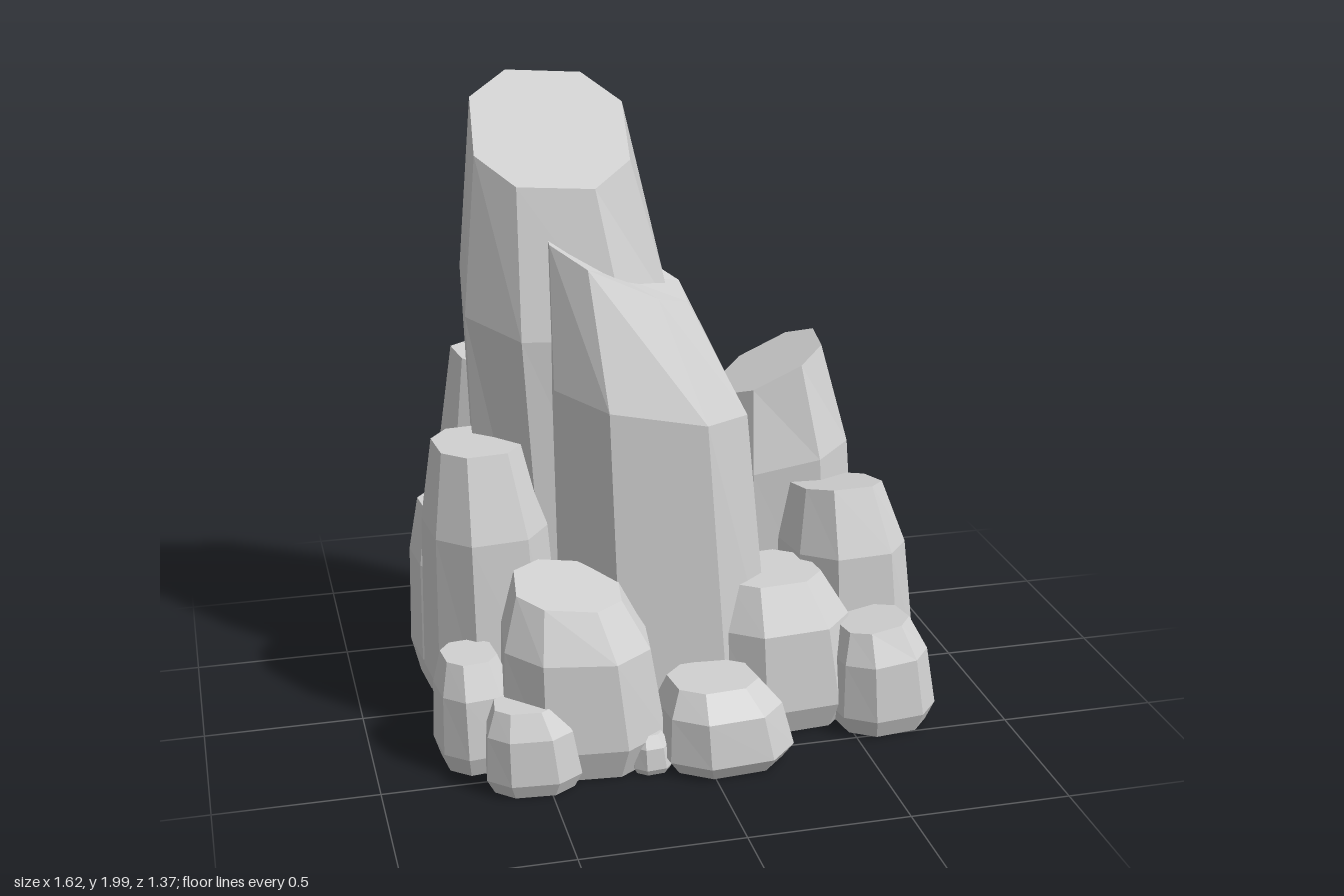
import * as THREE from 'three';

const stone = new THREE.MeshStandardMaterial({ color: 0xd0d0d0 });
stone.name = 'grey stone';

// Unit octagon: a square with cut corners, in order seen from above
const CUT = 0.5;
const OCTAGON = [];
for (const [x, z] of [[1, 1], [-1, 1], [-1, -1], [1, -1]]) {
  const pair = [[x, z * CUT], [x * CUT, z]];
  OCTAGON.push(...(x * z > 0 ? pair : pair.reverse()));
}

// One ring fitted to a box [x0, x1, z0, z1], skewed and tilted by slopes along x and z
function ring([x0, x1, z0, z1], y, skew, slopeX = 0, slopeZ = 0, scale = 1) {
  const fit = scale / (1 + Math.abs(skew) * CUT) / 2;
  return OCTAGON.map(([u, v]) => {
    const dx = (x1 - x0) * (u + skew * v) * fit;
    const dz = (z1 - z0) * (v - skew * u) * fit;
    return new THREE.Vector3((x0 + x1) / 2 + dx, y + slopeX * dx + slopeZ * dz, (z0 + z1) / 2 + dz);
  });
}

const centre = (points) =>
  points.reduce((sum, p) => sum.add(p), new THREE.Vector3()).divideScalar(points.length);

// Faceted rock: narrowed foot, low ring, shoulder ring and tilted top
function rock(name, { low, mid, midY, top, topY, skew, slopeX = 0, slopeZ = 0, sag = 0 }) {
  const rings = [
    ring(low, 0.005 + topY * 0.01, skew, 0, 0, 0.84),
    ring(low, Math.min(0.16, topY * 0.2), skew),
    ring(mid, midY, skew, slopeX * 0.4, slopeZ * 0.4),
    ring(top, topY, skew, slopeX, slopeZ),
  ];
  const bottom = centre(rings[0]);
  const cap = centre(rings[3]);
  cap.y -= sag;

  const corners = [];
  for (let i = 0; i < 8; i++) {
    const j = (i + 1) % 8;
    corners.push(bottom, rings[0][i], rings[0][j], cap, rings[3][j], rings[3][i]);
    for (let r = 0; r < 3; r++) {
      const a = rings[r], b = rings[r + 1];
      corners.push(a[i], b[i], b[j], a[i], b[j], a[j]);
    }
  }
  // Unshared corners give flat facets
  const geometry = new THREE.BufferGeometry().setFromPoints(corners);
  geometry.computeVertexNormals();
  const mesh = new THREE.Mesh(geometry, stone);
  mesh.name = name;
  return mesh;
}

// Upright boulder: shoulder and top are the foot box drawn in, more on the left and front
function boulder(name, low, topY, skew, slopeX, slopeZ) {
  const [x0, x1, z0, z1] = low;
  const w = x1 - x0, d = z1 - z0;
  const mid = [x0 + w * 0.02, x1 - w * 0.09, z0 + d * 0.03, z1 - d * 0.05];
  const top = [x0 + w * 0.11, x1 - w * 0.25, z0 + d * 0.12, z1 - d * 0.23];
  return rock(name, { low, mid, midY: topY * 0.72, top, topY, skew, slopeX, slopeZ });
}

export function createModel() {
  const group = new THREE.Group();
  group.name = 'rockFormation';

  group.add(
    // Two main spires
    rock('tallSpire', {
      low: [-0.59, 0.25, -0.45, 0.15],
      mid: [-0.62, 0.06, -0.51, 0.14], midY: 1.34,
      top: [-0.57, -0.07, -0.43, 0.03], topY: 1.855,
      skew: -0.1, slopeZ: -0.63,
    }),
    rock('frontSpire', {
      low: [-0.38, 0.31, -0.22, 0.39],
      mid: [-0.39, 0.23, -0.25, 0.36], midY: 1.08,
      top: [-0.38, 0.06, -0.18, 0.2], topY: 1.47,
      skew: -0.08, slopeX: -0.46, slopeZ: -0.14, sag: 0.04,
    }),
    // Medium columns
    boulder('rightSideColumn', [-0.79, -0.37, -0.18, 0.27], 0.93, 0.1),
    boulder('backRightColumn', [-0.66, -0.17, -0.66, -0.22], 1.05, 0.12, -0.15),
    boulder('backColumn', [-0.11, 0.41, -0.67, -0.25], 0.92, 0.06, 0, 0.2),
    boulder('leftColumn', [0.2, 0.72, -0.49, 0.01], 1.02, -0.12, 0.5),
    boulder('leftSideColumn', [0.38, 0.81, -0.18, 0.29], 0.69, 0.08, 0, 0.2),
    // Boulders round the foot
    boulder('backRightBoulder', [-0.8, -0.45, -0.42, -0.06], 0.63, 0.1),
    boulder('frontRightBoulder', [-0.62, -0.1, 0.18, 0.61], 0.57, -0.1, -0.1, -0.2),
    boulder('frontLeftBoulder', [0.06, 0.57, 0.02, 0.46], 0.49, 0.1),
    boulder('backLeftBoulder', [0.41, 0.71, -0.65, -0.37], 0.5, -0.1),
    boulder('leftCornerBoulder', [0.44, 0.78, 0.24, 0.54], 0.35, 0.14, 0.12),
    boulder('rightCornerBoulder', [-0.81, -0.55, 0.2, 0.48], 0.36, 0.12),
    boulder('frontBoulder', [-0.15, 0.27, 0.33, 0.68], 0.27, 0.1),
    boulder('frontRightStone', [-0.69, -0.39, 0.42, 0.65], 0.27, -0.1),
    // Pebbles
    boulder('frontPebble', [-0.24, -0.11, 0.46, 0.59], 0.13, 0.1),
    boulder('backPebble', [0.29, 0.43, -0.69, -0.53], 0.27, -0.15),
  );
  return group;
}
